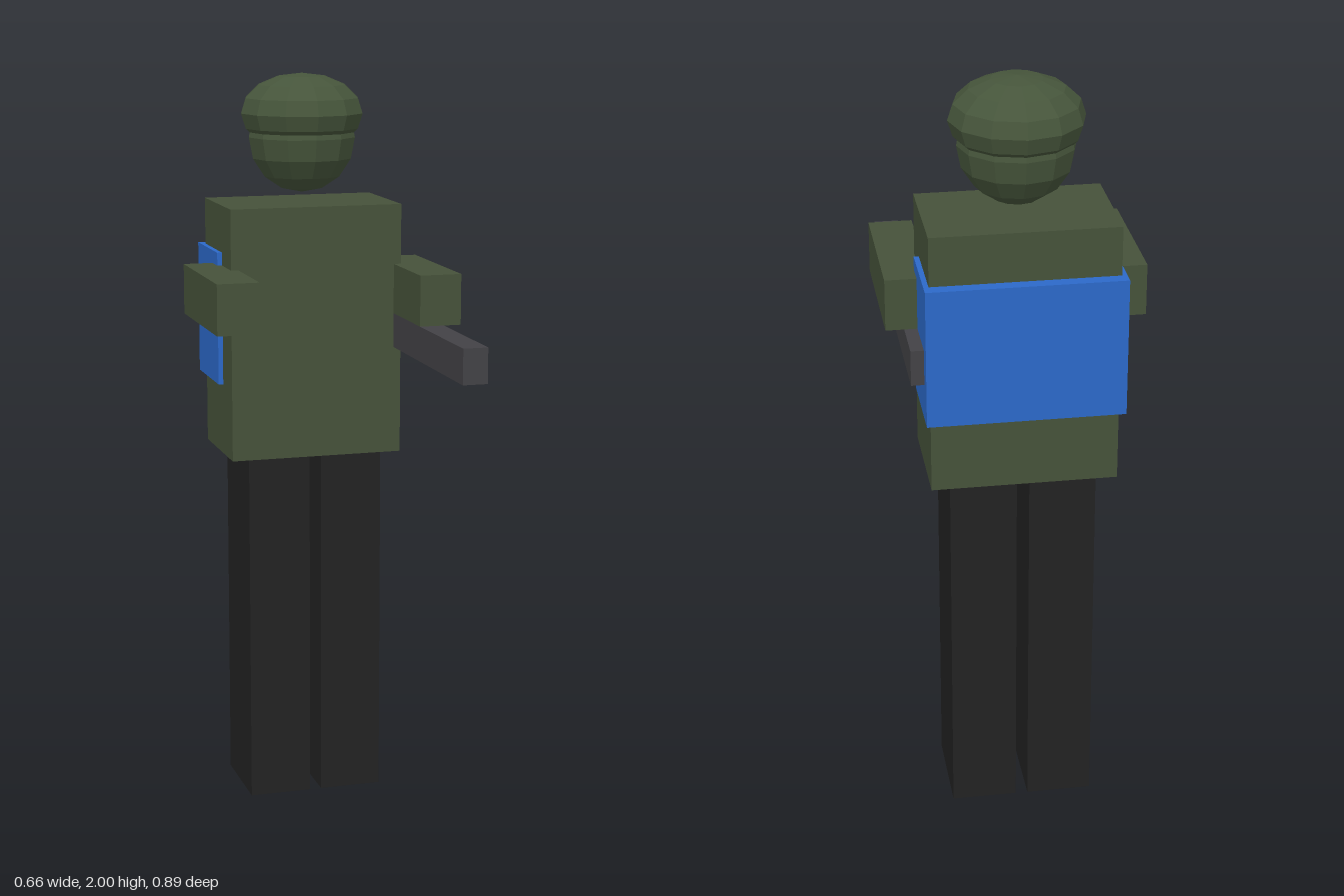
import * as THREE from 'three';

function material(name, color, flatShading = false) {
  const m = new THREE.MeshStandardMaterial({ color, flatShading });
  m.name = name;
  return m;
}

export function createModel() {
  const model = new THREE.Group();
  model.name = 'figure';
  const jacket = material('jacketGreen', 0x46523a);
  const headGreen = material('headGreen', 0x46553b, true);
  const trousers = material('trouserBlack', 0x222222);
  const packBlue = material('packBlue', 0x2c69c9);
  const metal = material('darkMetal', 0x434246);

  // Box given by its minimum and maximum corners
  function box(name, mat, [x0, y0, z0], [x1, y1, z1]) {
    const mesh = new THREE.Mesh(new THREE.BoxGeometry(x1 - x0, y1 - y0, z1 - z0), mat);
    mesh.position.set((x0 + x1) / 2, (y0 + y1) / 2, (z0 + z1) / 2);
    mesh.name = name;
    model.add(mesh);
  }

  // Low-poly ball, optionally flattened
  function ball(name, radius, halfHeight, y) {
    const mesh = new THREE.Mesh(new THREE.SphereGeometry(radius, 12, 8), headGreen);
    mesh.scale.y = halfHeight / radius;
    mesh.position.set(0, y, -0.267);
    mesh.name = name;
    model.add(mesh);
  }

  // Body and backpack
  box('torso', jacket, [-0.237, 0.973, -0.414], [0.237, 1.655, -0.119]);
  box('backpack', packBlue, [-0.25, 1.167, -0.447], [0.25, 1.528, -0.22]);

  // Legs and forward-reaching arms
  box('leftLeg', trousers, [0.016, 0, -0.387], [0.187, 0.975, -0.138]);
  box('rightLeg', trousers, [-0.187, 0, -0.387], [-0.016, 0.975, -0.138]);
  box('leftArm', jacket, [0.217, 1.358, -0.277], [0.33, 1.493, 0.108]);
  box('rightArm', jacket, [-0.33, 1.358, -0.277], [-0.217, 1.493, 0.108]);

  // Long bar held under the left arm
  box('heldBar', metal, [0.217, 1.265, -0.407], [0.283, 1.358, 0.447]);

  // Head with a flattened helmet sunk over it
  ball('head', 0.148, 0.15, 1.83);
  ball('helmet', 0.169, 0.106, 1.894);

  return model;
}
